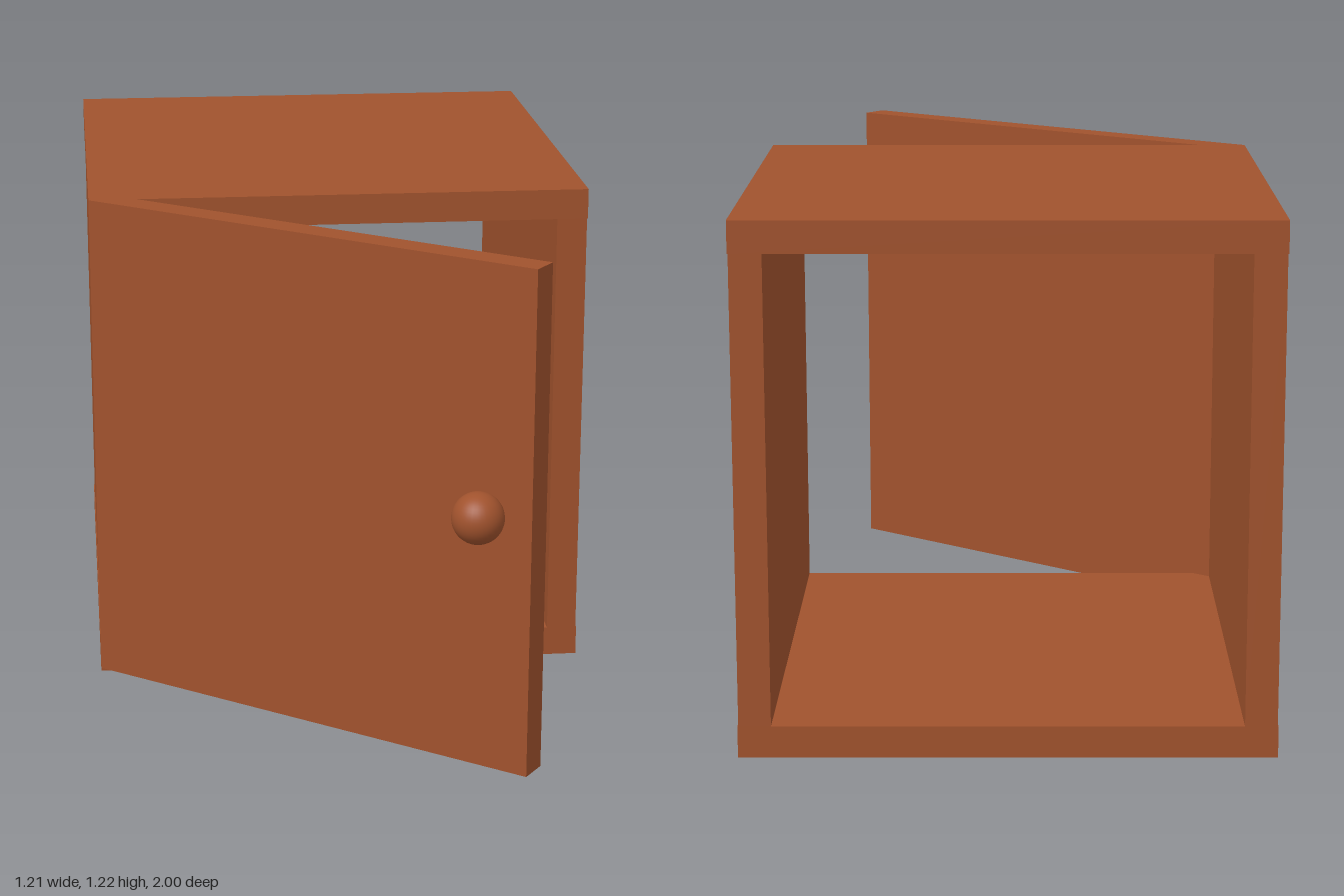
import * as THREE from 'three';

export function createModel() {
  const model = new THREE.Group();
  model.name = 'cabinet';
  const wood = new THREE.MeshStandardMaterial({ color: 0xa0522d });

  const add = (parent, name, geometry, x, y, z) => {
    const mesh = new THREE.Mesh(geometry, wood);
    mesh.name = name;
    mesh.position.set(x, y, z);
    parent.add(mesh);
    return mesh;
  };

  const W = 1.208, H = 1.215, D = 1.206, T = 0.073; // carcass size and board thickness
  const front = 0.206, midZ = front - D / 2;

  // Open carcass: two full-width boards with the sides set between them
  add(model, 'bottomPanel', new THREE.BoxGeometry(W, T, D), 0, T / 2, midZ);
  add(model, 'topPanel', new THREE.BoxGeometry(W, T, D), 0, H - T / 2, midZ);
  for (const [name, s] of [['leftPanel', 1], ['rightPanel', -1]]) {
    add(model, name, new THREE.BoxGeometry(T, H - 2 * T, D), s * (0.602 - T / 2), H / 2, midZ);
  }

  // Door swung open about its outer front corner
  const hinge = new THREE.Group();
  hinge.name = 'doorHinge';
  hinge.position.set(-W / 2, 0, front);
  hinge.rotation.y = -Math.atan2(0.729, 0.962);
  model.add(hinge);
  const doorW = 1.207, doorT = 0.07, doorBottom = 0.008;
  add(hinge, 'door', new THREE.BoxGeometry(doorW, H - doorBottom, doorT),
    doorW / 2, (H + doorBottom) / 2, -doorT / 2);

  // Round knob in front of the door
  add(model, 'doorKnob', new THREE.SphereGeometry(0.06, 32, 24), 0.235, 0.648, 0.94);

  return model;
}
